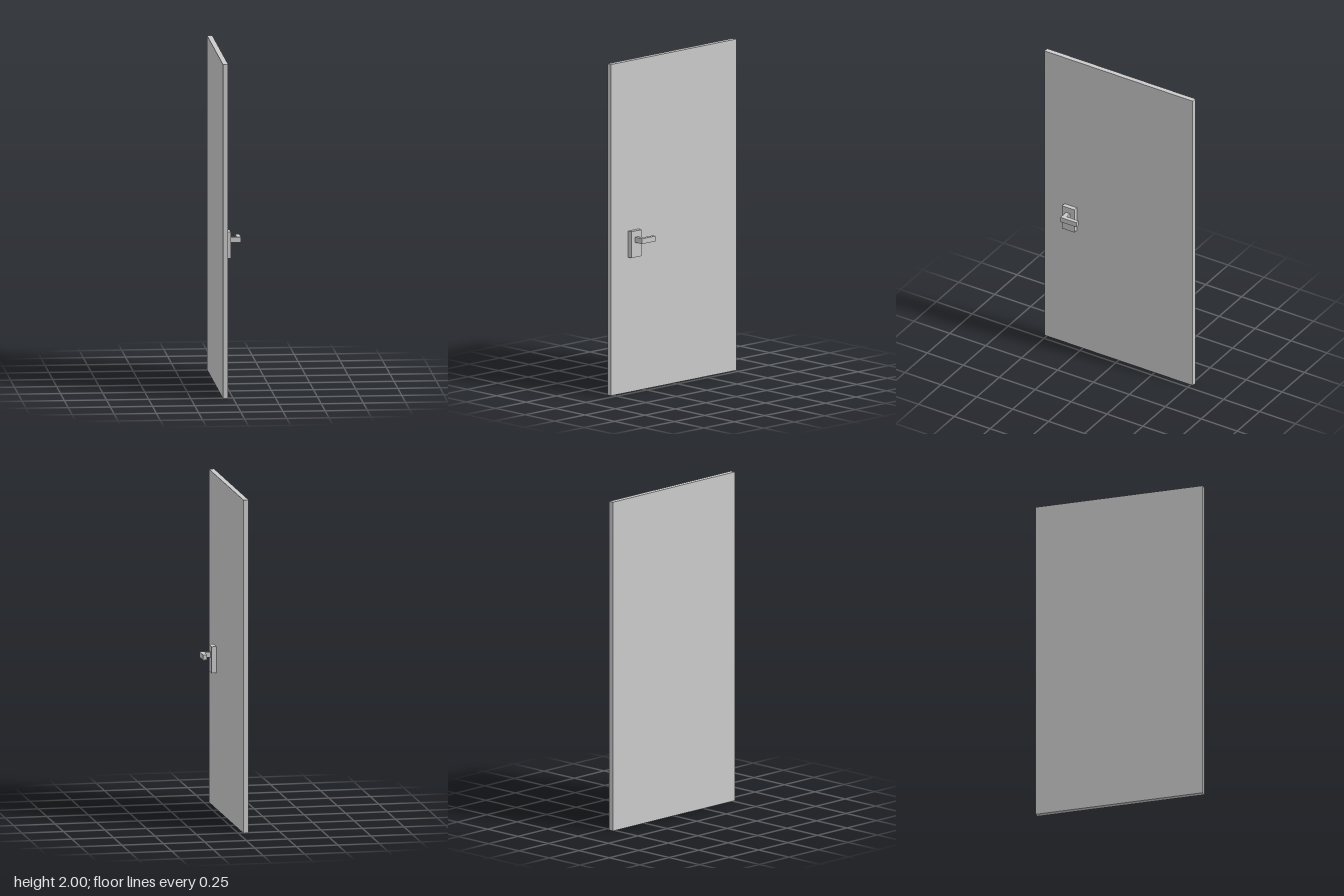
import * as THREE from 'three';

export function createModel() {
  const group = new THREE.Group();
  const material = new THREE.MeshStandardMaterial({ color: 0xcccccc, flatShading: true });

  const add = (name, geometry) => {
    const mesh = new THREE.Mesh(geometry, material);
    mesh.name = name;
    group.add(mesh);
    return mesh;
  };

  // Box given by its min and max corners
  const box = (name, [x0, y0, z0], [x1, y1, z1]) =>
    add(name, new THREE.BoxGeometry(x1 - x0, y1 - y0, z1 - z0))
      .position.set((x0 + x1) / 2, (y0 + y1) / 2, (z0 + z1) / 2);

  // Door slab and the plate behind the handle
  box('doorPanel', [-0.061, 0, -0.516], [-0.03, 2, 0.516]);
  box('handlePlate', [-0.03, 0.815, 0.291], [-0.002, 0.974, 0.376]);

  // L-shaped lever: outline in (x, -z), extruded upwards
  const outline = [
    [-0.002, 0.348], [0.061, 0.348], [0.061, 0.237],
    [0.036, 0.237], [0.036, 0.321], [-0.002, 0.321],
  ].map(([x, z]) => new THREE.Vector2(x, -z));
  const leverGeometry = new THREE.ExtrudeGeometry(new THREE.Shape(outline), {
    depth: 0.032, bevelEnabled: false,
  });
  leverGeometry.rotateX(-Math.PI / 2);
  add('leverHandle', leverGeometry).position.y = 0.905;

  return group;
}
